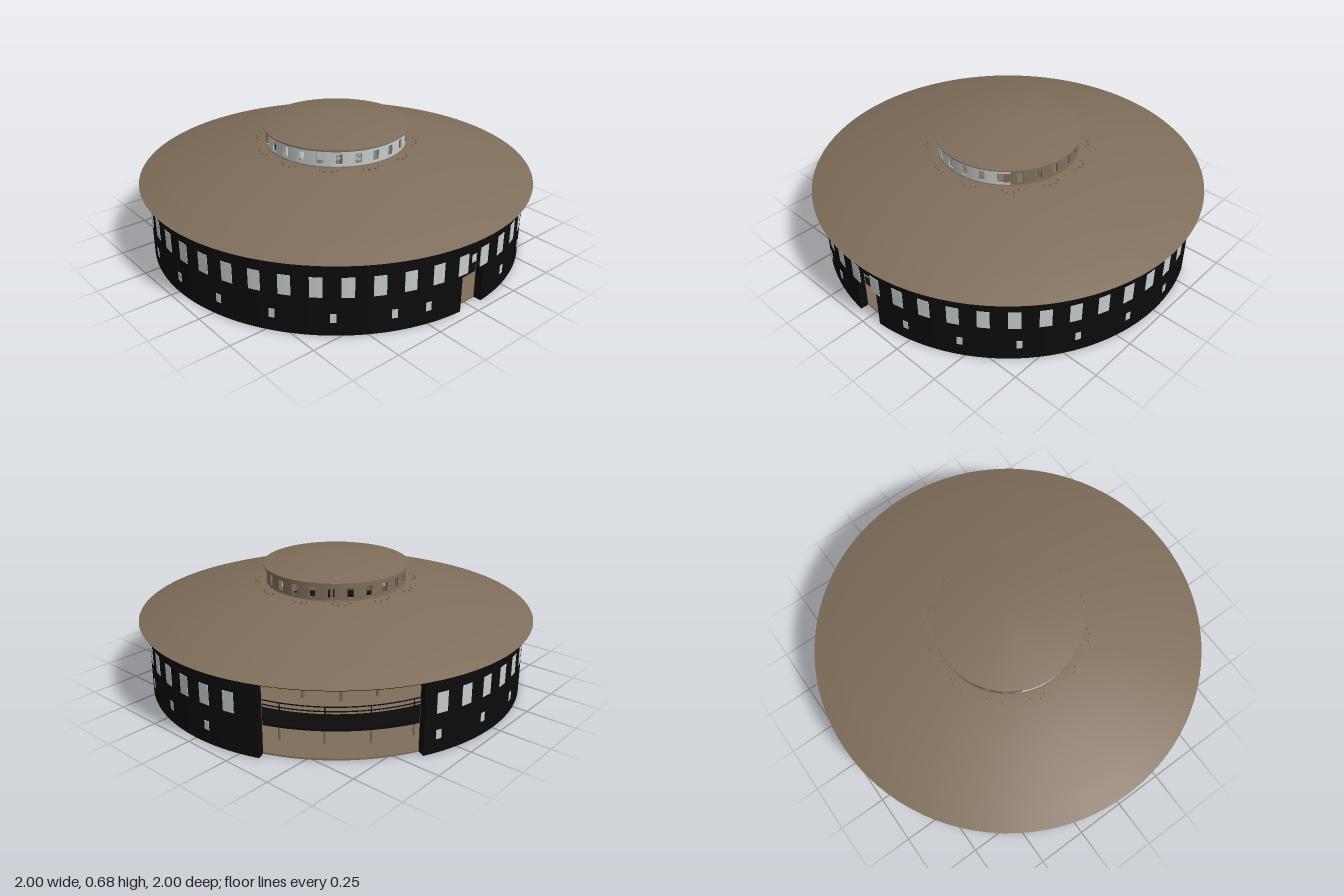
import * as THREE from 'three';
import { toCreasedNormals } from 'three/addons/utils/BufferGeometryUtils.js';

const material = (name, color, side = THREE.FrontSide) => {
  const m = new THREE.MeshStandardMaterial({ color, side });
  m.name = name;
  return m;
};
const DEG = Math.PI / 180;

export function createModel() {
  const tan = material('tan timber', 0x7f6e5a);
  const tanShell = material('tan roof', 0x7f6e5a, THREE.DoubleSide);
  const black = material('black cladding', 0x0b0b0b);
  const glass = material('pale glass', 0xc4cccb);

  const model = new THREE.Group();
  model.name = 'roundHall';

  const add = (name, geometry, mat, parent = model) => {
    const mesh = new THREE.Mesh(geometry, mat);
    mesh.name = name;
    parent.add(mesh);
    return mesh;
  };
  const group = (name) => {
    const g = new THREE.Group();
    g.name = name;
    model.add(g);
    return g;
  };
  // Point at an azimuth counted in degrees from the front (+z) towards +x
  const polar = (r, az, y) => new THREE.Vector3(r * Math.sin(az * DEG), y, r * Math.cos(az * DEG));

  // Upright block following a circular arc
  const arc = (name, mat, r0, r1, y0, y1, a0, a1, parent) => {
    const s = (a0 - 90) * DEG, e = (a1 - 90) * DEG;
    const shape = new THREE.Shape();
    shape.absarc(0, 0, r1, s, e, false);
    shape.absarc(0, 0, r0, e, s, true);
    const geo = new THREE.ExtrudeGeometry(shape, {
      depth: y1 - y0, bevelEnabled: false, curveSegments: Math.max(2, Math.ceil((a1 - a0) / 3)),
    });
    geo.rotateX(-Math.PI / 2);
    geo.translate(0, y0, 0);
    return add(name, toCreasedNormals(geo, 0.5), mat, parent);
  };
  const ring = (name, mat, r0, r1, y0, y1, parent) => {
    for (const a of [0, 180]) arc(name, mat, r0, r1, y0, y1, a, a + 180, parent);
  };
  // Straight bar between two points
  const bar = (name, mat, a, b, radius, parent) => {
    const mesh = add(name, new THREE.CylinderGeometry(radius, radius, a.distanceTo(b), 6), mat, parent);
    mesh.position.copy(a).add(b).multiplyScalar(0.5);
    mesh.quaternion.setFromUnitVectors(new THREE.Vector3(0, 1, 0), b.clone().sub(a).normalize());
  };

  // Floor
  const floor = add('floor', new THREE.CylinderGeometry(0.915, 0.915, 0.008, 96), tan);
  floor.position.y = 0.004;

  // Outer wall, black outside and lined inside, with a doorway and one open bay
  const wall = group('outerWall');
  const gapStart = 110.9, gapEnd = 154.3, door = 4.2;
  const spans = [[door, gapStart, 0], [gapEnd, 360 - door, 0], [-door, door, 0.275]];
  for (const [a0, a1, y0] of spans) {
    arc('wall', black, 0.916, 0.955, y0, 0.372, a0, a1, wall);
    arc('wallLining', tan, 0.912, 0.916, Math.max(y0, 0.008), 0.372, a0, a1, wall);
  }

  // Window panes on both wall faces
  const windows = group('windows');
  const pane = (name, az, half, y0, y1) => {
    if (az + half > gapStart && az - half < gapEnd) return;
    arc(name, glass, 0.953, 0.957, y0, y1, az - half, az + half, windows);
    arc(name + 'Inside', glass, 0.91, 0.913, y0, y1, az - half, az + half, windows);
  };
  for (let i = 0; i < 44; i++) pane('tallWindow', (i + 0.5) * 360 / 44, 1.7, 0.192, 0.29);
  for (let i = 0; i < 21; i++) pane('smallWindow', 14.2 + i * 16.06, 0.8, 0.068, 0.112);
  pane('smallWindow', 345, 0.8, 0.068, 0.112);

  // Gallery with railing and posts
  const gallery = group('gallery');
  ring('galleryDeck', black, 0.78, 0.911, 0.138, 0.15, gallery);
  for (const y of [0.165, 0.187]) {
    const rail = add('galleryRail', new THREE.TorusGeometry(0.785, 0.003, 5, 96), black, gallery);
    rail.rotation.x = Math.PI / 2;
    rail.position.y = y;
  }
  for (let i = 0; i < 24; i++) {
    const az = i * 15 + 7.5;
    bar('galleryPost', tan, polar(0.79, az, 0), polar(0.79, az, 0.138), 0.006, gallery);
    bar('railPost', black, polar(0.785, az, 0.15), polar(0.785, az, 0.187), 0.003, gallery);
    for (const side of [-1, 1]) {
      bar('galleryBrace', black, polar(0.79, az, 0.115), polar(0.79, az + side * 2.5, 0.139), 0.004, gallery);
    }
  }

  // Curved main roof and its soffit
  const profile = [[1, 0.372], [0.93, 0.396], [0.85, 0.421], [0.7, 0.46], [0.55, 0.493], [0.42, 0.515], [0.35, 0.523]]
    .map(([r, y]) => new THREE.Vector2(r, y));
  const roofCurve = new THREE.SplineCurve(profile);
  add('mainRoof', new THREE.LatheGeometry(roofCurve.getPoints(24), 96), tanShell);
  ring('eaveSoffit', black, 0.912, 0.998, 0.369, 0.372);

  // Rafters under the roof
  const rafters = group('rafters');
  for (let i = 0; i < 24; i++) {
    const az = i * 15;
    bar('rafter', tan, polar(0.91, az, 0.392), polar(0.7, az, 0.45), 0.006, rafters);
    bar('rafter', tan, polar(0.7, az, 0.45), polar(0.37, az, 0.51), 0.006, rafters);
  }

  // Columns carrying the lantern, with brace tips that break through the roof
  const columns = group('columns');
  for (let i = 0; i < 12; i++) {
    const az = 15 + i * 30;
    bar('column', tan, polar(0.375, az, 0), polar(0.375, az, 0.515), 0.009, columns);
    for (const off of [-6, -2.5, 2.5, 6]) {
      const r = Math.abs(off) > 4 ? 0.395 : 0.41;
      bar('braceTip', tan, polar(0.378, az, 0.43), polar(r, az + off, 0.527), 0.004, columns);
    }
  }

  // Lantern drum with open windows; the side away from the open bay is pale
  const lantern = group('lantern');
  const paleStart = 246, paleEnd = 398;
  const drumPart = (name, y0, y1, a0, a1) => {
    const mid = (a0 + a1) / 2;
    const pale = mid > paleStart || mid < paleEnd - 360;
    arc(name, tan, 0.345, 0.352, y0, y1, a0, a1, lantern);
    arc(name + 'Face', pale ? glass : tan, 0.352, 0.356, y0, y1, a0, a1, lantern);
  };
  for (let i = 0; i < 24; i++) {
    const a = i * 15;
    drumPart('lanternSill', 0.525, 0.537, a, a + 15);
    drumPart('lanternHead', 0.587, 0.6, a, a + 15);
    drumPart('lanternPier', 0.537, 0.587, a, a + 5);
    drumPart('lanternPier', 0.537, 0.587, a + 10, a + 15);
  }
  ring('lanternFoot', tan, 0.343, 0.36, 0.515, 0.525, lantern);
  ring('lanternPlate', tan, 0.343, 0.358, 0.6, 0.613, lantern);

  // Glazed screen hanging beneath the lantern, facing the open bay
  arc('hangingScreen', glass, 0.33, 0.336, 0.3, 0.42, 62, 204, lantern);

  // Cone roof on the lantern
  const cone = [[0.371, 0.609], [0.371, 0.614], [0, 0.682]].map(([r, y]) => new THREE.Vector2(r, y));
  add('lanternRoof', toCreasedNormals(new THREE.LatheGeometry(cone, 96), 0.6), tanShell, lantern);

  return model;
}
